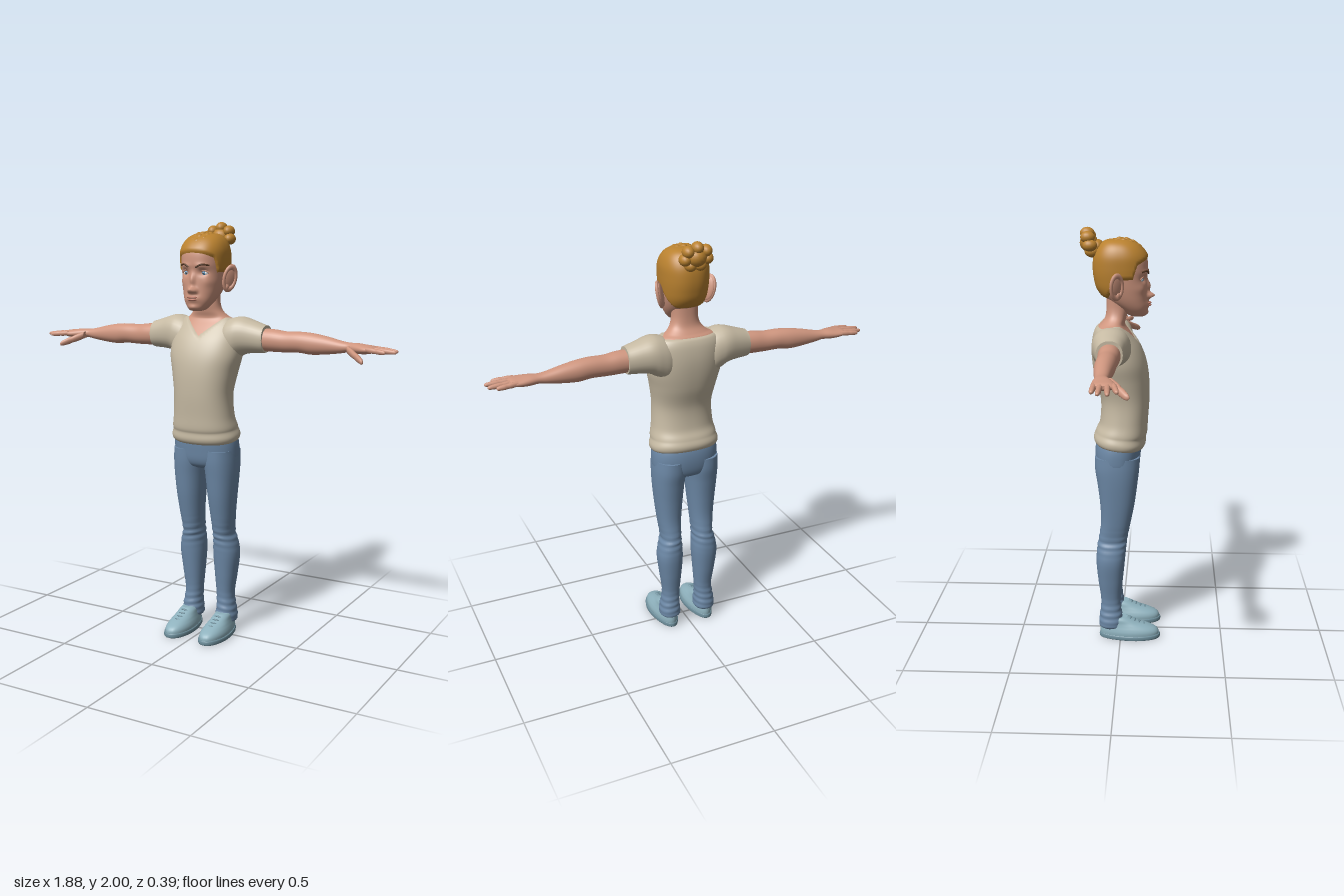
import * as THREE from 'three';
import { mergeGeometries } from 'three/addons/utils/BufferGeometryUtils.js';

const { clamp, lerp, smoothstep } = THREE.MathUtils;

// Smooth loft along 'x' or 'y'. Each row: [position, min1, max1, min2, max2],
// where 1 and 2 are (x, z) for a y loft and (y, z) for an x loft.
function loft(axis, rows, { n = 32, k = 5, p = 2.2, tweak } = {}) {
  const pos = [], idx = [], v = new THREE.Vector3();
  const put = (t, a, b) => {
    axis === 'y' ? v.set(a, t, b) : v.set(t, a, b);
    if (tweak) tweak(v);
    pos.push(v.x, v.y, v.z);
  };
  const tri = (a, b, c) => (axis === 'y' ? idx.push(a, c, b) : idx.push(a, b, c));
  const sp = (s) => Math.sign(s) * Math.abs(s) ** (2 / p);
  const ring = ([t, a0, a1, b0, b1]) => {
    for (let j = 0; j < n; j++) {
      const th = (j / n) * Math.PI * 2;
      put(t, (a0 + a1) / 2 + (a1 - a0) / 2 * sp(Math.cos(th)), (b0 + b1) / 2 + (b1 - b0) / 2 * sp(Math.sin(th)));
    }
  };
  const at = (i) => rows[clamp(i, 0, rows.length - 1)];
  const fine = [];
  for (let i = 0; i < rows.length - 1; i++) {
    for (let s = 0; s < k; s++) {
      const f = s / k;
      fine.push(at(i).map((c, q) => {
        const a = at(i - 1)[q], d = at(i + 1)[q], e = at(i + 2)[q];
        return 0.5 * (2 * c + (d - a) * f + (2 * a - 5 * c + 4 * d - e) * f * f + (3 * c - a - 3 * d + e) * f ** 3);
      }));
    }
  }
  fine.push(rows.at(-1));
  fine.forEach(ring);
  for (let i = 0; i < fine.length - 1; i++) {
    for (let j = 0; j < n; j++) {
      const a = i * n + j, b = i * n + (j + 1) % n;
      tri(a, b, b + n);
      tri(a, b + n, a + n);
    }
  }
  for (const end of [0, 1]) {
    const r = end ? fine.at(-1) : fine[0], base = pos.length / 3;
    ring(r);
    put(r[0], (r[1] + r[2]) / 2, (r[3] + r[4]) / 2);
    for (let j = 0; j < n; j++) {
      const a = base + j, b = base + (j + 1) % n;
      end ? tri(a, b, base + n) : tri(b, a, base + n);
    }
  }
  const g = new THREE.BufferGeometry();
  g.setAttribute('position', new THREE.Float32BufferAttribute(pos, 3));
  g.setIndex(idx);
  g.computeVertexNormals();
  return g;
}

// Move a surface along its normals; negative amounts sink it below the part beneath
function shell(g, amount) {
  const P = g.attributes.position, N = g.attributes.normal;
  const v = new THREE.Vector3(), m = new THREE.Vector3();
  for (let i = 0; i < P.count; i++) {
    v.fromBufferAttribute(P, i);
    m.fromBufferAttribute(N, i);
    v.addScaledVector(m, amount(v));
    P.setXYZ(i, v.x, v.y, v.z);
  }
  g.computeVertexNormals();
  return g;
}

function mirror(g) {
  const m = g.clone().scale(-1, 1, 1), a = m.index.array;
  for (let i = 0; i < a.length; i += 3) [a[i], a[i + 1]] = [a[i + 1], a[i]];
  return m;
}

const ball = (x, y, z, rx, ry = rx, rz = rx) => new THREE.SphereGeometry(1, 18, 12).scale(rx, ry, rz).translate(x, y, z);
const vecs = (pts) => pts.map((p) => new THREE.Vector3(...p));
const tube = (pts, r) => new THREE.TubeGeometry(new THREE.CatmullRomCurve3(vecs(pts)), 12, r, 8);
const sym = ([y, w, back, front]) => [y, -w, w, back, front];

export function createModel() {
  const model = new THREE.Group();
  model.name = 'youngMan';
  const mat = (name, color) => Object.assign(new THREE.MeshStandardMaterial({ color }), { name });
  const skin = mat('skin', 0xcf967f), shirt = mat('shirt', 0xc6baa3), denim = mat('denim', 0x6c88a6);
  const hair = mat('hair', 0xb9812f), canvas = mat('shoeCanvas', 0x8fb2be), trim = mat('shoeTrim', 0x6f909d);
  const white = mat('eyeWhite', 0xdde3e6), blue = mat('iris', 0x5596c4), dark = mat('browAndPupil', 0x5a3c28);
  const lip = mat('lips', 0xb87765);
  const add = (name, g, m) => {
    const mesh = new THREE.Mesh(g, m);
    mesh.name = name;
    model.add(mesh);
  };
  const pair = (name, g, m) => {
    add(name + 'Left', g, m);
    add(name + 'Right', mirror(g), m);
  };

  // Chest and neck, with the shirt as a shell that dips under the skin at the V neck
  const torso = [
    [0.958, 0.142, -0.1, 0.08], [0.965, 0.158, -0.12, 0.1], [0.985, 0.163, -0.126, 0.111], [1.015, 0.155, -0.118, 0.111],
    [1.04, 0.153, -0.112, 0.118], [1.1, 0.143, -0.095, 0.121], [1.2, 0.138, -0.092, 0.127], [1.3, 0.154, -0.118, 0.125],
    [1.38, 0.172, -0.131, 0.112], [1.45, 0.172, -0.134, 0.085], [1.51, 0.162, -0.126, 0.045], [1.545, 0.132, -0.11, 0.02],
    [1.562, 0.1, -0.094, 0.016], [1.59, 0.073, -0.076, 0.024], [1.63, 0.062, -0.07, 0.03], [1.69, 0.062, -0.07, 0.02],
  ].map(sym);
  add('neckAndChest', loft('y', torso.slice(8), { n: 96, k: 6, p: 2.3 }), skin);
  const hem = (v) => {
    const low = 1 - smoothstep(v.y, 0.98, 1.1);
    v.y += low * 0.015 * (1 - v.z / 0.12);
  };
  const vNeck = (v) => {
    const edge = lerp(1.548, 1.475 + 0.85 * Math.abs(v.x), smoothstep(v.z, -0.06, 0));
    return clamp((edge - v.y) * 0.7, -0.012, 0.006);
  };
  add('shirtBody', shell(loft('y', torso, { n: 96, k: 6, p: 2.3, tweak: hem }), vNeck), shirt);
  pair('sleeve', loft('x', [
    [0.05, 1.4, 1.49, -0.09, 0], [0.1, 1.35, 1.543, -0.122, 0.045], [0.15, 1.365, 1.562, -0.13, 0.05],
    [0.19, 1.388, 1.562, -0.128, 0.042], [0.24, 1.397, 1.547, -0.117, 0.03], [0.29, 1.4, 1.531, -0.105, 0.022],
    [0.302, 1.402, 1.528, -0.102, 0.019],
  ]), shirt);

  // Arm, palm, fingers and thumb
  const arm = loft('x', [
    [0.26, 1.41, 1.515, -0.094, 0.01], [0.34, 1.408, 1.512, -0.092, 0.008], [0.4, 1.408, 1.505, -0.09, 0.002],
    [0.47, 1.41, 1.506, -0.092, 0], [0.53, 1.404, 1.502, -0.094, -0.004], [0.6, 1.409, 1.49, -0.09, -0.012],
    [0.67, 1.418, 1.474, -0.083, -0.02], [0.71, 1.425, 1.468, -0.08, -0.022], [0.75, 1.421, 1.468, -0.085, -0.005],
    [0.79, 1.422, 1.464, -0.088, 0.012], [0.825, 1.428, 1.46, -0.085, 0.014], [0.842, 1.438, 1.452, -0.07, 0],
  ], { p: 2.1 });
  const finger = ([x0, y0, z0], [x1, y1, z1], r) => loft('x', [[0, 0.9], [0.3, 1], [0.5, 0.9], [0.65, 0.95], [0.9, 0.75], [0.98, 0.45], [1, 0.1]]
    .map(([t, s]) => {
      const y = lerp(y0, y1, t), z = lerp(z0, z1, t);
      return [lerp(x0, x1, t), y - r * s, y + r * s, z - r * s, z + r * s];
    }), { n: 12, k: 3 });
  const fingers = [[-0.074, -0.079, 0.902], [-0.049, -0.053, 0.934], [-0.021, -0.014, 0.94], [0.003, 0.021, 0.902]]
    .map(([z0, z1, x1]) => finger([0.805, 1.446, z0], [x1, 1.438, z1], 0.0125));
  pair('armAndHand', mergeGeometries([arm, ...fingers, finger([0.715, 1.44, -0.015], [0.815, 1.395, 0.06], 0.018)]), skin);

  // Jeans, with soft creases at the knees and ankles
  add('jeansHips', loft('y', [
    [0.835, 0.07, -0.07, 0.04], [0.85, 0.13, -0.105, 0.07], [0.88, 0.158, -0.12, 0.086], [0.93, 0.163, -0.126, 0.093],
    [0.98, 0.159, -0.122, 0.097], [1.03, 0.144, -0.106, 0.098],
  ].map(sym), { n: 56, p: 2.3 }), denim);
  const crease = (v) => {
    const knee = Math.exp(-(((v.y - 0.5) / 0.05) ** 2)), ankle = Math.exp(-(((v.y - 0.13) / 0.06) ** 2));
    const s = 1 + 0.035 * (knee + ankle) * Math.sin(v.y * 190 + v.x * 25);
    v.x = 0.09 + (v.x - 0.09) * s;
    v.z = -0.045 + (v.z + 0.045) * s;
  };
  pair('jeansLeg', loft('y', [
    [0.05, 0.055, 0.135, -0.09, 0], [0.065, 0.043, 0.147, -0.106, 0.011], [0.1, 0.044, 0.145, -0.105, 0.011],
    [0.14, 0.047, 0.138, -0.1, 0.004], [0.2, 0.045, 0.132, -0.097, 0], [0.3, 0.037, 0.145, -0.11, 0.01],
    [0.4, 0.03, 0.156, -0.119, 0.02], [0.47, 0.033, 0.145, -0.115, 0.025], [0.51, 0.035, 0.134, -0.108, 0.03],
    [0.6, 0.029, 0.143, -0.096, 0.048], [0.7, 0.02, 0.153, -0.1, 0.067], [0.8, 0.011, 0.161, -0.112, 0.08],
    [0.87, 0.003, 0.163, -0.123, 0.088], [0.93, 0.004, 0.16, -0.124, 0.09],
  ], { k: 8, tweak: crease }), denim);

  // Shoes with soles and laces
  const heel = (v) => { v.x = 0.096 + (v.x - 0.096) * (1 - 0.22 * clamp((0.06 - v.z) / 0.16, 0, 1)); };
  pair('shoeUpper', loft('y', [
    [0.018, 0.034, 0.158, -0.1, 0.19], [0.035, 0.034, 0.158, -0.101, 0.188], [0.05, 0.038, 0.154, -0.1, 0.174],
    [0.065, 0.044, 0.148, -0.098, 0.14], [0.08, 0.049, 0.143, -0.096, 0.095], [0.097, 0.053, 0.14, -0.094, 0.055],
    [0.107, 0.06, 0.133, -0.088, 0.035],
  ], { tweak: heel }), canvas);
  pair('shoeSole', loft('y', [
    [0, 0.032, 0.16, -0.102, 0.192], [0.004, 0.029, 0.164, -0.105, 0.196], [0.018, 0.029, 0.164, -0.105, 0.196], [0.022, 0.032, 0.161, -0.103, 0.193],
  ], { k: 2, tweak: heel }), trim);
  pair('shoeLaces', mergeGeometries([0, 1, 2, 3].map((i) => {
    const z = 0.05 + i * 0.022, y = 0.1 - i * 0.0095;
    return tube([[0.066, y - 0.012, z - 0.012], [0.096, y + 0.001, z], [0.126, y - 0.012, z - 0.012]], 0.004);
  })), trim);

  // Head, with the face shaped by soft bumps: [x, y, width, height, depth]
  const skull = [
    [1.592, 0.02, 0.06, 0.098], [1.6, 0.04, 0.03, 0.112], [1.63, 0.064, -0.01, 0.12], [1.67, 0.082, -0.062, 0.12],
    [1.72, 0.094, -0.105, 0.119], [1.77, 0.1, -0.12, 0.117], [1.82, 0.103, -0.125, 0.122], [1.87, 0.101, -0.12, 0.115],
    [1.91, 0.085, -0.1, 0.085], [1.934, 0.055, -0.07, 0.045], [1.942, 0.008, -0.015, 0.005],
  ].map(sym);
  const bumps = [
    [0, 1.735, 0.011, 0.028, 0.017], [0, 1.69, 0.014, 0.014, 0.035], [0.017, 1.686, 0.009, 0.01, 0.015],
    [0.046, 1.768, 0.02, 0.014, -0.013], [0.04, 1.8, 0.03, 0.011, 0.006], [0.07, 1.725, 0.02, 0.02, 0.005],
    [0, 1.65, 0.034, 0.018, 0.012], [0, 1.61, 0.025, 0.013, 0.009],
  ];
  const face = (v) => {
    if (v.z < 0.03) return;
    const x = Math.abs(v.x), y = v.y;
    for (const [bx, by, w, h, d] of bumps) v.z += d * Math.exp(-(((x - bx) / w) ** 2) - ((y - by) / h) ** 2);
  };
  add('head', loft('y', skull, { n: 120, k: 8, p: 2.3, tweak: face }), skin);
  add('lips', mergeGeometries([ball(0, 1.656, 0.125, 0.027, 0.0055, 0.014), ball(0, 1.645, 0.125, 0.023, 0.006, 0.014)]), lip);
  pair('eyeball', ball(0.046, 1.766, 0.082, 0.021, 0.0125, 0.019), white);
  pair('iris', ball(0.045, 1.766, 0.0965, 0.0095, 0.0095, 0.006), blue);
  pair('pupil', ball(0.045, 1.766, 0.1005, 0.0045, 0.0045, 0.003), dark);
  pair('eyelid', tube([[0.022, 1.766, 0.098], [0.034, 1.777, 0.102], [0.05, 1.779, 0.1], [0.07, 1.768, 0.088]], 0.004), skin);
  pair('eyebrow', tube([[0.017, 1.793, 0.125], [0.045, 1.806, 0.118], [0.074, 1.802, 0.093]], 0.0042), dark);
  const ear = mergeGeometries([
    ball(0, 0, 0, 0.011, 0.056, 0.033),
    new THREE.TorusGeometry(0.03, 0.008, 10, 28).rotateY(Math.PI / 2).scale(1, 1.75, 1).translate(0.006, 0, 0),
    ball(0.004, -0.045, 0.008, 0.011, 0.018, 0.014),
  ]).rotateY(-0.6).rotateZ(-0.22).translate(0.116, 1.742, -0.02);
  pair('ear', ear, skin);

  // Close-cropped hair: hairline height by depth, as a shell over the skull
  const line = [[-0.2, 1.68], [-0.06, 1.68], [-0.045, 1.71], [0, 1.77], [0.055, 1.77], [0.075, 1.835], [0.125, 1.862], [0.3, 1.862]];
  const hairline = (z) => {
    const i = line.findIndex((q) => z < q[0]), [a, b] = [line[i - 1], line[i]];
    return lerp(a[1], b[1], (z - a[0]) / (b[0] - a[0]));
  };
  add('croppedHair', shell(loft('y', skull, { n: 100, k: 7, p: 2.3 }), (v) => clamp((v.y - hairline(v.z)) * 0.6, -0.012, 0.008)), hair);

  // Seven braids running back over the crown, swelling and pinching along their length
  const braids = [-3, -2, -1, 0, 1, 2, 3].map((k) => {
    const pts = [];
    for (let i = 0; i <= 10; i++) {
      const s = i / 10, a = lerp(0.5, 2.55, s), x = k * 0.03 * (0.68 + 0.36 * Math.sin(Math.PI * s) - 0.25 * s);
      const w = Math.sqrt(1 - (x / 0.113) ** 2);
      pts.push([x, 1.8 + 0.14 * w * Math.sin(a), 0.122 * w * Math.cos(a)]);
    }
    const curve = new THREE.CatmullRomCurve3(vecs(pts)), seg = 64, g = new THREE.TubeGeometry(curve, seg, 0.0165, 10);
    const P = g.attributes.position, v = new THREE.Vector3();
    for (let i = 0; i < P.count; i++) {
      const t = Math.floor(i / 11) / seg, c = curve.getPointAt(t);
      v.fromBufferAttribute(P, i).sub(c).multiplyScalar(0.66 + 0.38 * Math.abs(Math.sin(t * Math.PI * 8 + k))).add(c);
      P.setXYZ(i, v.x, v.y, v.z);
    }
    g.computeVertexNormals();
    return g;
  });
  add('braids', mergeGeometries(braids), hair);

  // Bun of coiled knobs at the back of the crown
  const knobs = [ball(0, 1.93, -0.15, 0.045, 0.042, 0.042), ball(0, 1.915, -0.11, 0.04, 0.03, 0.03)];
  for (let i = 0; i < 7; i++) {
    const a = Math.PI / 2 + (i / 7) * Math.PI * 2;
    knobs.push(ball(0.054 * Math.cos(a), 1.93 + 0.043 * Math.sin(a), -0.145 - 0.012 * Math.sin(a), 0.027, 0.027, 0.034));
  }
  add('bun', mergeGeometries(knobs), hair);
  return model;
}
